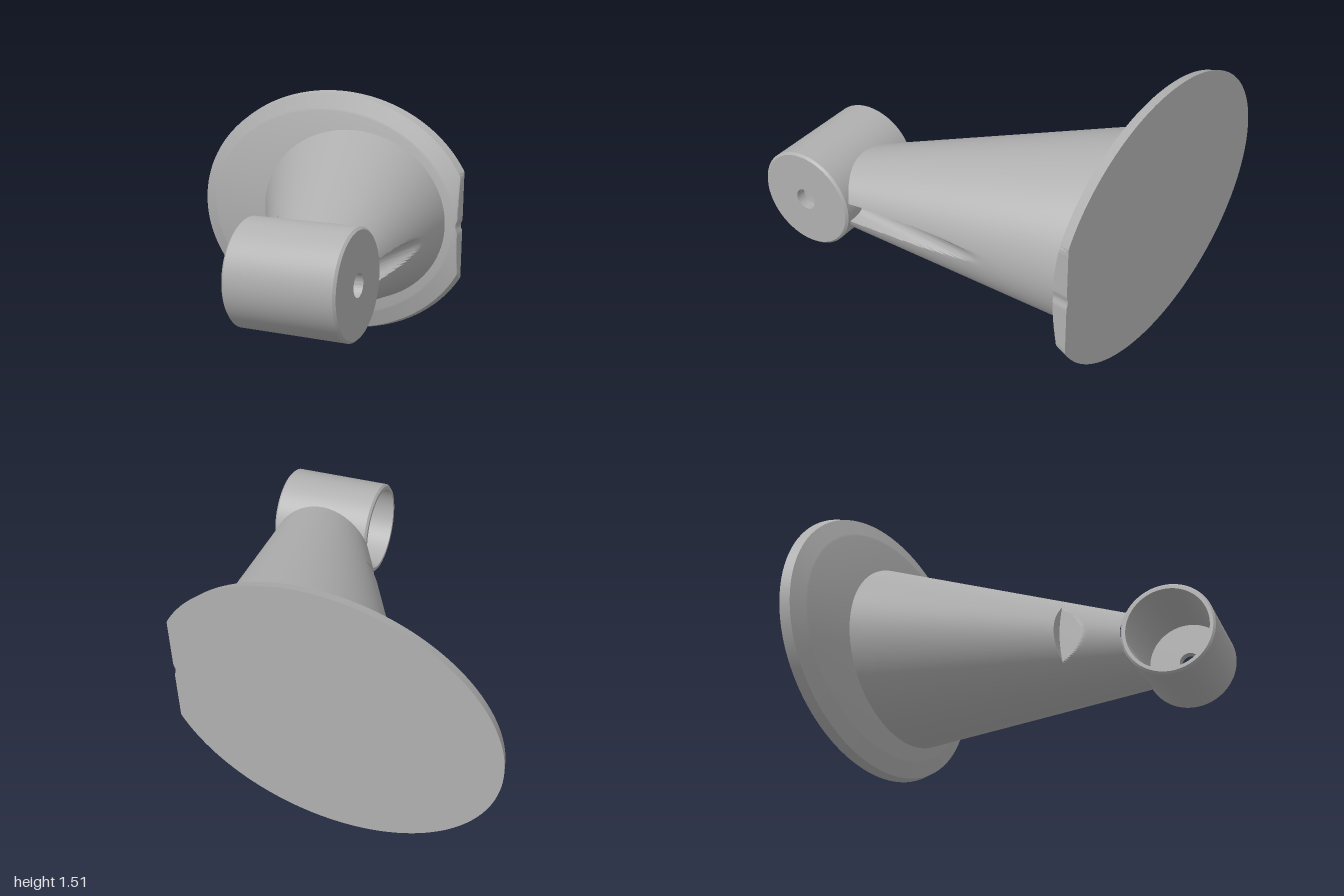
import * as THREE from 'three';
import { toCreasedNormals } from 'three/addons/utils/BufferGeometryUtils.js';

const SEGMENTS = 320;
const MID_Y = 0.763;

// Hub axis: tilted slightly away from x
const HUB = new THREE.Vector3(0.679, MID_Y, 0.656);
const AXIS = new THREE.Vector3(1, 0, -0.09).normalize();
const HUB_RADIUS = 0.278;

// Skin closed rings; pointAt(ring, angle) returns a Vector3
function loft(ringCount, pointAt) {
  const pos = [], index = [];
  for (let i = 0; i < ringCount; i++) {
    for (let j = 0; j < SEGMENTS; j++) {
      const p = pointAt(i, (j / SEGMENTS) * Math.PI * 2);
      pos.push(p.x, p.y, p.z);
      if (i === ringCount - 1) continue;
      const k = (j + 1) % SEGMENTS;
      const a = i * SEGMENTS + j, b = i * SEGMENTS + k;
      index.push(a, b, b + SEGMENTS, a, b + SEGMENTS, a + SEGMENTS);
    }
  }
  const geo = new THREE.BufferGeometry();
  geo.setAttribute('position', new THREE.Float32BufferAttribute(pos, 3));
  geo.setIndex(index);
  return toCreasedNormals(geo, 0.45);
}

// Round channel running along z down the model's left side
function carveChannel(p) {
  const r = 0.055, dy = p.y - MID_Y;
  if (Math.abs(dy) < r) p.x = Math.min(p.x, 0.875 - Math.sqrt(r * r - dy * dy));
  return p;
}

// Oval plate with a bevelled front edge, trimmed straight on one side
function plateGeometry() {
  const rings = [[0, 0, -0.96], [0.96, 0.757, -0.96], [0.945, 0.742, -0.905]];
  for (let i = 1; i <= 8; i++) {
    const t = i / 8;
    rings.push([0.945 - 0.105 * t, 0.742 - 0.102 * t, -0.905 + 0.038 * t]);
  }
  rings.push([0, 0, -0.867]);
  return loft(rings.length, (i, a) => {
    const [rx, ry, z] = rings[i];
    const x = -0.04 + rx * Math.cos(a);
    return carveChannel(new THREE.Vector3(Math.min(x, 0.83), MID_Y + ry * Math.sin(a), z));
  });
}

// Distance from the hub axis
function hubDistance(p) {
  const d = p.clone().sub(HUB);
  return d.addScaledVector(AXIS, -d.dot(AXIS)).length();
}

// Leaning oval cone, ending on the hub, with a clearance step and a channel
function armGeometry() {
  const lower = 14, upper = 24;
  const ruling = (a, t) => new THREE.Vector3(
    THREE.MathUtils.lerp(0.1285 + 0.6285 * Math.cos(a), 0.714 + 0.25 * Math.cos(a), t),
    MID_Y + THREE.MathUtils.lerp(0.53, 0.177, t) * Math.sin(a),
    -0.87 + 1.47 * t);
  // Where a ruling comes within the given radius of the hub axis
  const reach = (a, radius) => {
    let lo = 0, hi = 1;
    for (let n = 0; n < 24; n++) {
      const mid = (lo + hi) / 2;
      if (hubDistance(ruling(a, mid)) > radius) lo = mid; else hi = mid;
    }
    return lo;
  };
  return loft(lower + upper + 2, (i, a) => {
    const step = reach(a, 0.61);
    if (i <= lower) return carveChannel(ruling(a, step * i / lower));
    const p = ruling(a, THREE.MathUtils.lerp(step, reach(a, HUB_RADIUS - 0.006), (i - lower - 1) / upper));
    // Flat face of the clearance step, parallel to the hub's open end
    p.x = Math.max(p.x, 0.225 + 0.09 * (p.z - 0.24));
    return carveChannel(p);
  });
}

// Cup with an open end, a closed end and a small centre hole
function hubGeometry() {
  const h = 0.295, bore = 0.246, floor = 0.24, hole = 0.06, e = 0.012;
  const profile = [
    [hole, h], [hole, floor], [bore, floor], [bore, -h],
    [HUB_RADIUS - e, -h], [HUB_RADIUS, -h + e],
    [HUB_RADIUS, h - e], [HUB_RADIUS - e, h], [hole, h],
  ].map(([x, y]) => new THREE.Vector2(x, y));
  return toCreasedNormals(new THREE.LatheGeometry(profile, 96), 0.45);
}

export function createModel() {
  const model = new THREE.Group();
  const grey = new THREE.MeshStandardMaterial({ color: 0xb0b0b0 });
  grey.name = 'plain grey';

  const add = (name, geometry) => {
    const mesh = new THREE.Mesh(geometry, grey);
    mesh.name = name;
    model.add(mesh);
    return mesh;
  };

  add('mountingPlate', plateGeometry());
  add('taperedArm', armGeometry());
  const hub = add('hollowHub', hubGeometry());
  hub.position.copy(HUB);
  hub.quaternion.setFromUnitVectors(new THREE.Vector3(0, 1, 0), AXIS);

  return model;
}
